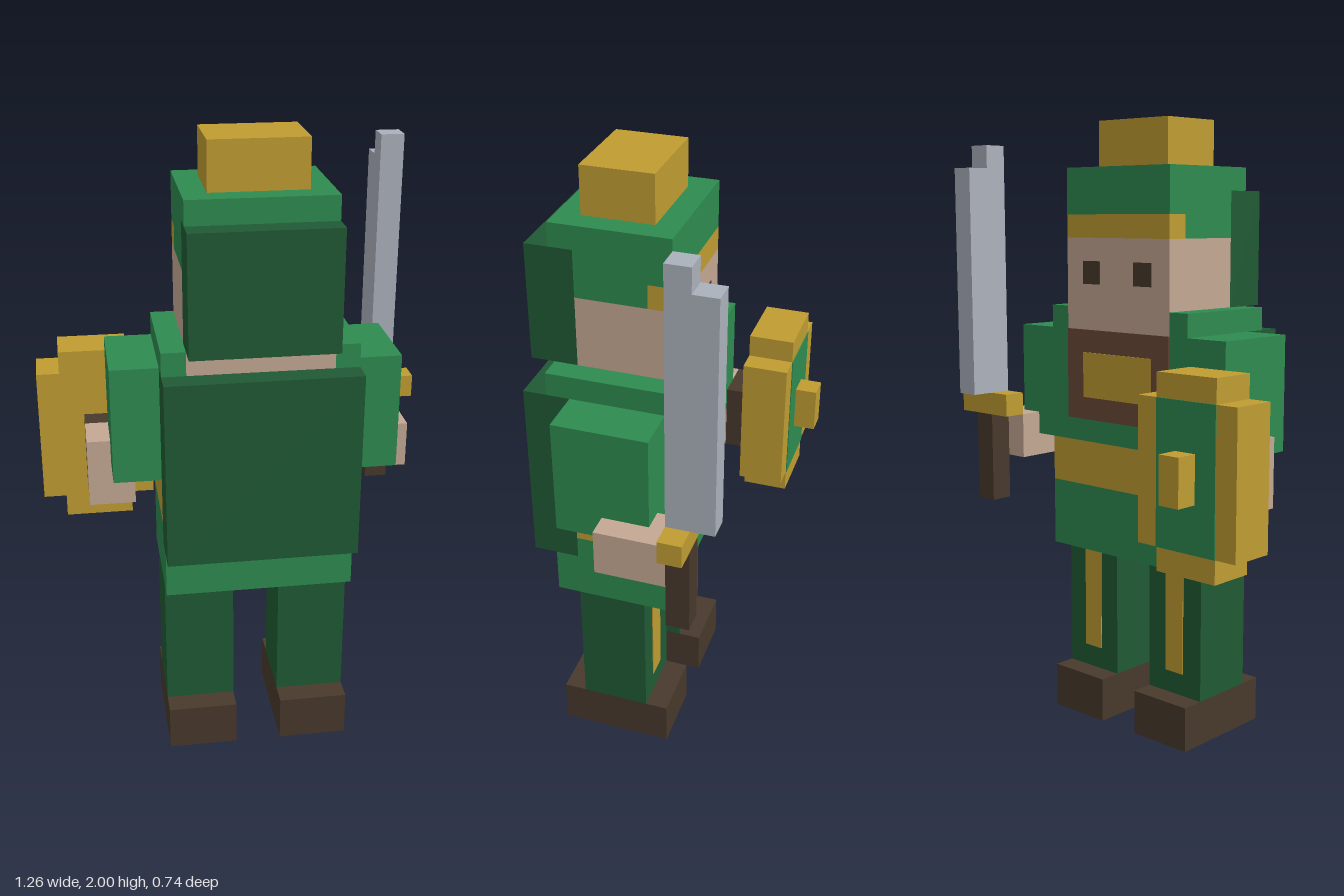
import * as THREE from 'three';

const mat = (name, color) => {
  const m = new THREE.MeshStandardMaterial({ color });
  m.name = name;
  return m;
};

export function createModel() {
  const green = mat('green cloth', 0x2e8b50);
  const darkGreen = mat('dark green cloth', 0x205a34);
  const gold = mat('gold', 0xc09d32);
  const skin = mat('skin', 0xc4a893);
  const steel = mat('steel', 0xabb1bc);
  const darkBrown = mat('dark brown leather', 0x48392c);
  const brown = mat('brown leather', 0x6b4a36);

  // All sizes are in grid cells: x 0..17, y 0..27, z -5..5
  const U = 2 / 27;
  const model = new THREE.Group();
  model.name = 'warrior';

  const group = (name) => {
    const g = new THREE.Group();
    g.name = name;
    model.add(g);
    return g;
  };
  // Box spanning [x0, x1], [y0, y1], [z0, z1]
  const box = (parent, name, material, [x0, x1], [y0, y1], [z0, z1]) => {
    const geo = new THREE.BoxGeometry((x1 - x0) * U, (y1 - y0) * U, (z1 - z0) * U);
    const mesh = new THREE.Mesh(geo, material);
    mesh.name = name;
    mesh.position.set(((x0 + x1) / 2 - 8.5) * U, ((y0 + y1) / 2) * U, ((z0 + z1) / 2) * U);
    parent.add(mesh);
  };
  // Thin painted plate lying on a face that looks towards -z
  const plate = (parent, name, material, xs, ys, z, t = 0.04) =>
    box(parent, name, material, xs, ys, [z - t, z]);

  // Legs with boots and a gold stripe
  for (const [side, x] of [['right', 5], ['left', 10]]) {
    const leg = group(side + 'Leg');
    box(leg, 'boot', darkBrown, [x, x + 3], [0, 2], [-1, 4]);
    box(leg, 'trouser', darkGreen, [x, x + 3], [2, 8], [0, 3]);
    plate(leg, 'trouserStripe', gold, [x + 1, x + 2], [3, 8], 0);
  }

  // Torso, stacked from skirt to collar
  const torso = group('torso');
  box(torso, 'skirt', green, [5, 13], [8, 10], [-1, 4]);
  box(torso, 'waist', green, [5, 13], [10, 11], [-1, 3]);
  box(torso, 'belt', gold, [5, 13], [11, 13], [-1, 3]);
  box(torso, 'chest', green, [5, 13], [13, 18], [-1, 3]);
  box(torso, 'neck', skin, [6, 12], [18, 19], [-1, 4]);
  box(torso, 'rightCollar', green, [5, 6], [18, 19], [-1, 4]);
  box(torso, 'leftCollar', green, [12, 13], [18, 19], [-1, 4]);
  box(torso, 'cape', darkGreen, [5, 13], [10, 18], [3, 5]);
  plate(torso, 'breastplate', brown, [6, 12], [14, 18], -1);
  plate(torso, 'breastplateInlay', gold, [7, 11], [15, 17], -1, 0.08);

  // Head with face, headband, hood and crown
  const head = group('head');
  box(head, 'face', skin, [6, 12], [19, 22], [-1, 3]);
  box(head, 'headband', gold, [6, 12], [22, 23], [-1, 0]);
  box(head, 'hoodSides', green, [6, 12], [22, 23], [0, 3]);
  box(head, 'hood', green, [6, 12], [23, 24], [-1, 3]);
  box(head, 'hoodTop', green, [6, 12], [24, 25], [-1, 4]);
  box(head, 'hoodDrape', darkGreen, [6, 12], [19, 24], [3, 5]);
  box(head, 'crown', gold, [7, 11], [25, 27], [0, 3]);
  for (const x of [7, 10]) plate(head, 'eye', darkBrown, [x, x + 1], [20, 21], -1);

  // Arms and hands
  const arms = group('arms');
  box(arms, 'rightSleeve', green, [3, 5], [13, 18], [-1, 3]);
  box(arms, 'leftSleeve', green, [13, 15], [13, 18], [-1, 3]);
  box(arms, 'rightHand', skin, [2, 4], [11, 14], [-0.99, 1]);
  box(arms, 'leftHand', skin, [14, 16], [12, 14], [-2, 1]);

  // Sword with a stepped tip
  const sword = group('sword');
  box(sword, 'handle', darkBrown, [15, 16], [10, 14], [-3, -2]);
  box(sword, 'guard', gold, [14, 17], [14, 15], [-3, -2]);
  box(sword, 'bladeBack', steel, [15, 16], [15, 26], [-3, -2]);
  box(sword, 'bladeEdge', steel, [15, 16], [15, 25], [-4, -3]);

  // Shield with clipped corners, green panel and boss
  const shield = group('shield');
  box(shield, 'strap', darkBrown, [2, 4], [11, 14], [-2, -1]);
  box(shield, 'shieldCentre', gold, [1, 4], [9, 17], [-4, -2]);
  box(shield, 'shieldSide', gold, [0, 1], [10, 16], [-4, -2]);
  box(shield, 'shieldSide', gold, [4, 5], [10, 16], [-4, -2]);
  plate(shield, 'shieldPanel', green, [1, 4], [10, 16], -4);
  box(shield, 'boss', gold, [2, 3], [12, 14], [-5, -4]);

  return model;
}
